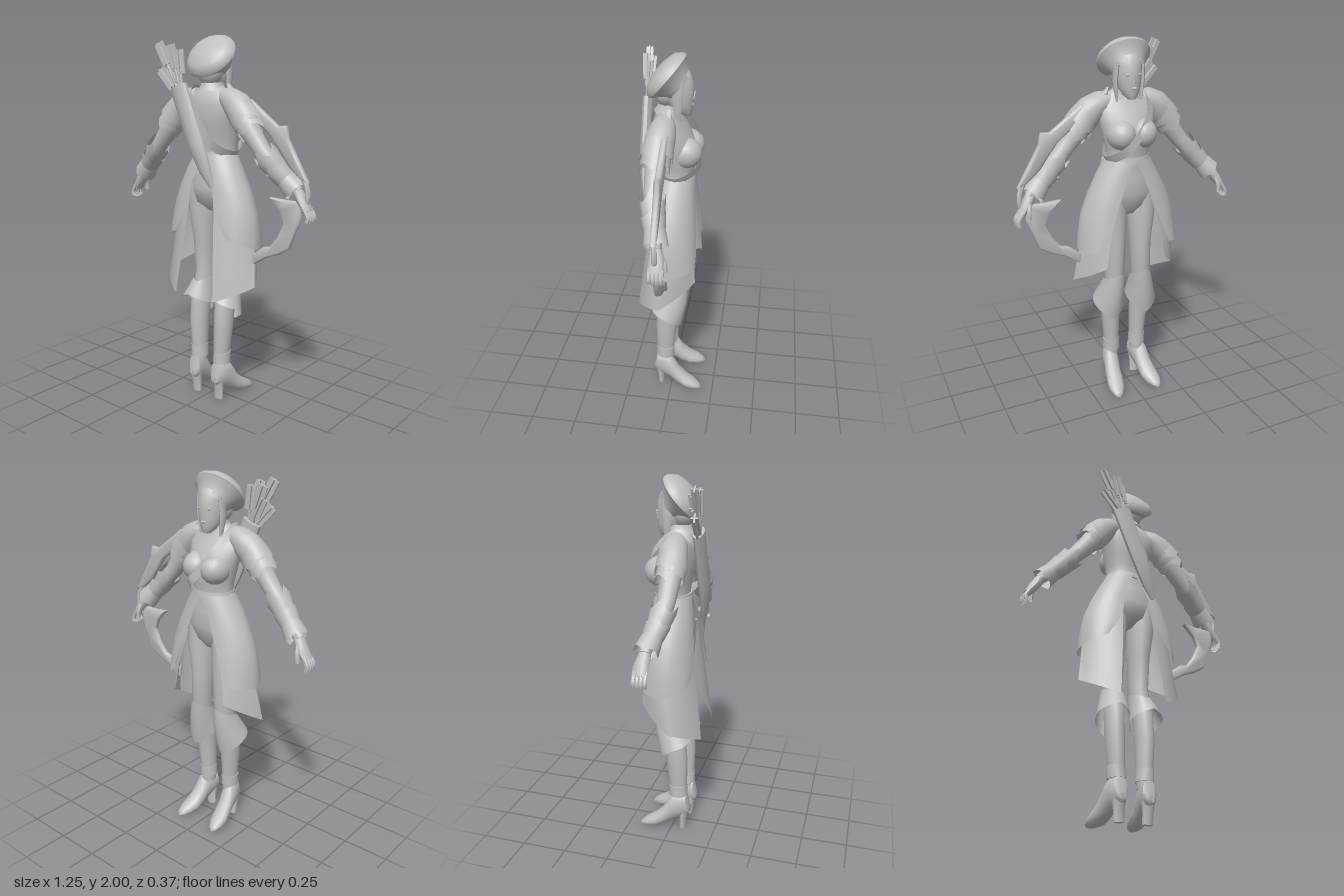
import * as THREE from 'three';
import { toCreasedNormals } from 'three/addons/utils/BufferGeometryUtils.js';

const V = (x, y, z) => new THREE.Vector3(x, y, z);
const grey = new THREE.MeshStandardMaterial({ color: 0xbfbfbf, side: THREE.DoubleSide });
grey.name = 'plain grey';

// Surface through rows of points; wrapped rows make a tube, caps close its ends
function skin(rows, wrap = true, caps = true) {
  const n = rows[0].length, pos = [], idx = [];
  rows.flat().forEach(p => pos.push(p.x, p.y, p.z));
  for (let i = 0; i < rows.length - 1; i++) {
    for (let j = 0; j < (wrap ? n : n - 1); j++) {
      const k = (j + 1) % n, a = i * n + j, b = i * n + k;
      idx.push(a, b, b + n, a, b + n, a + n);
    }
  }
  if (wrap && caps) [0, rows.length - 1].forEach((r, e) => {
    const c = V(0, 0, 0), m = pos.length / 3;
    rows[r].forEach(p => c.addScaledVector(p, 1 / n));
    pos.push(c.x, c.y, c.z);
    for (let j = 0; j < n; j++) {
      const a = r * n + j, b = r * n + (j + 1) % n;
      idx.push(m, ...(e ? [a, b] : [b, a]));
    }
  });
  // Turn the faces outwards
  let volume = 0;
  const at = i => V(pos[i * 3], pos[i * 3 + 1], pos[i * 3 + 2]);
  for (let i = 0; i < idx.length; i += 3) volume += at(idx[i]).dot(at(idx[i + 1]).cross(at(idx[i + 2])));
  if (volume < 0) idx.reverse();
  const g = new THREE.BufferGeometry();
  g.setAttribute('position', new THREE.Float32BufferAttribute(pos, 3));
  g.setIndex(idx);
  return g;
}

function ring(c, a, b, seg) {
  return Array.from({ length: seg }, (_, i) => {
    const t = i / seg * Math.PI * 2;
    return c.clone().addScaledVector(a, Math.cos(t)).addScaledVector(b, Math.sin(t));
  });
}

// Limb through stations [x, y, z, depth radius, width radius]
function limb(st, seg = 16) {
  return skin(st.map((s, i) => {
    const p = st[Math.max(i - 1, 0)], q = st[Math.min(i + 1, st.length - 1)];
    const side = V(q[1] - p[1], p[0] - q[0], 0).normalize();
    return ring(V(s[0], s[1], s[2]), V(0, 0, s[3]), side.multiplyScalar(s[4]), seg);
  }));
}

// Flared armour sleeve with a pointed edge
function sleeve(A, B, r0, r1, jag) {
  const a = V(...A), b = V(...B), t = b.clone().sub(a).normalize();
  const u = V(0, 0, 1).addScaledVector(t, -t.z).normalize(), v = u.clone().cross(t);
  const at = (f, r) => ring(a.clone().lerp(b, f), u.clone().multiplyScalar(r), v.clone().multiplyScalar(r), 16);
  const edge = at(1, r1);
  edge.forEach((p, i) => p.addScaledVector(t, i % 4 === 0 ? jag : i % 2 ? 0 : -jag * 0.4));
  return skin([at(0, r0), at(0.5, r0 * 0.35 + r1 * 0.65), edge], true, false);
}

// Curved row running from front, round the side, to the back; flat = 1 makes it straight
function around(F, S, B, flat = 0) {
  const row = [];
  for (let i = 0; i <= 16; i++) {
    const E = i <= 8 ? F : B, f = Math.abs(8 - i) / 8, t = f * Math.PI / 2;
    const c = Math.cos(t) * (1 - flat) + (1 - f) * flat, s = Math.sin(t) * (1 - flat) + f * flat;
    row.push(V(E[0] + (S[0] - E[0]) * c, S[1] + (E[1] - S[1]) * f, S[2] + (E[2] - S[2]) * s));
  }
  return row;
}

const tube = (pts, r) => new THREE.TubeGeometry(new THREE.CatmullRomCurve3(pts.map(p => V(...p))), 8, r, 7);
const ball = (x, y, z, a, b, c) => new THREE.SphereGeometry(1, 20, 14).scale(a, b, c).translate(x, y, z);

export function createModel() {
  const model = new THREE.Group();
  model.name = 'archer';
  const add = (name, g, parent = model) => {
    const m = new THREE.Mesh(toCreasedNormals(g, 0.8), grey);
    m.name = name;
    parent.add(m);
    return m;
  };
  const pair = (name, g) => {
    const other = g.clone().scale(-1, 1, 1);
    other.index.array.reverse();
    add(name + 'Left', g);
    add(name + 'Right', other);
  };

  // Torso, neck and chest
  add('torso', limb([
    [0, 1.07, -0.01, 0.04, 0.05], [0, 1.12, 0, 0.09, 0.13], [0, 1.2, -0.005, 0.108, 0.165], [0, 1.29, -0.01, 0.102, 0.145],
    [0, 1.38, -0.015, 0.088, 0.115], [0, 1.44, -0.018, 0.098, 0.122], [0, 1.51, -0.014, 0.11, 0.138], [0, 1.57, 0, 0.105, 0.15],
    [0, 1.64, 0.02, 0.085, 0.165], [0, 1.69, 0.03, 0.065, 0.145], [0, 1.725, 0.025, 0.048, 0.085], [0, 1.75, 0.015, 0.042, 0.044],
    [0, 1.82, 0.01, 0.042, 0.042]], 24));
  pair('breast', ball(0.06, 1.515, -0.065, 0.076, 0.08, 0.088));
  add('collar', sleeve([0, 1.70, 0.022], [0, 1.75, 0.012], 0.08, 0.062, 0.008));
  add('belt', limb([[0, 1.36, -0.015, 0.1, 0.125], [0, 1.395, -0.013, 0.096, 0.121]], 24));

  // Shoulder strap round the body
  const strap = new THREE.CatmullRomCurve3([[-0.11, 1.72, 0.02], [-0.08, 1.61, -0.105], [0, 1.5, -0.14], [0.06, 1.44, -0.138],
    [0.127, 1.38, -0.02], [0.07, 1.43, 0.1], [-0.02, 1.58, 0.125], [-0.09, 1.7, 0.1]].map(p => V(...p)), true).getPoints(40);
  add('chestStrap', skin([-1, 1].map(k => strap.map(p => p.clone().add(V(k * 0.012, k * 0.02, 0)))), true, false));

  // Head: [height, half width, front z, back z]
  add('head', limb([[1.695, 0.02, -0.085, -0.045], [1.715, 0.04, -0.092, 0], [1.75, 0.058, -0.096, 0.04], [1.8, 0.068, -0.1, 0.07],
    [1.86, 0.072, -0.098, 0.085], [1.91, 0.068, -0.08, 0.085], [1.95, 0.03, -0.03, 0.05]]
    .map(([y, w, f, b]) => [0, y, (f + b) / 2, (b - f) / 2, w]), 20));
  add('nose', new THREE.ConeGeometry(0.011, 0.05, 6).rotateX(-0.3).translate(0, 1.803, -0.102));
  add('lips', ball(0, 1.752, -0.093, 0.016, 0.007, 0.007));
  pair('eye', ball(0.03, 1.818, -0.087, 0.014, 0.006, 0.006));
  pair('sideLock', limb([[0.068, 1.88, -0.03, 0.03, 0.014], [0.076, 1.79, -0.028, 0.026, 0.012], [0.066, 1.68, -0.03, 0.012, 0.005]], 8));
  add('backHair', ball(0, 1.82, 0.04, 0.076, 0.085, 0.06));

  // Soft hat tilted backwards
  const hat = add('hat', new THREE.LatheGeometry([[0.078, -0.085], [0.09, -0.06], [0.112, -0.028], [0.138, -0.004], [0.134, 0.014],
    [0.105, 0.042], [0.05, 0.056], [0, 0.058]].map(p => new THREE.Vector2(...p)), 24));
  hat.position.set(0, 1.888, 0.034);
  hat.rotation.x = 0.86;
  hat.scale.x = 1.05;

  // Arms with layered shoulder and forearm armour
  pair('arm', limb([[0.13, 1.67, 0.03, 0.055, 0.045], [0.2, 1.63, 0.04, 0.066, 0.066], [0.27, 1.52, 0.05, 0.052, 0.055],
    [0.35, 1.42, 0.05, 0.045, 0.045], [0.42, 1.345, 0.038, 0.045, 0.045], [0.54, 1.23, 0.005, 0.028, 0.028]]));
  pair('shoulder', limb([[0.08, 1.685, 0.03, 0.045, 0.045], [0.13, 1.672, 0.034, 0.064, 0.06], [0.18, 1.64, 0.038, 0.074, 0.075],
    [0.225, 1.59, 0.045, 0.076, 0.079], [0.258, 1.545, 0.05, 0.07, 0.074]], 20));
  [[[0.195, 1.635, 0.04], [0.25, 1.56, 0.047], 0.07, 0.082], [[0.225, 1.595, 0.044], [0.28, 1.52, 0.05], 0.064, 0.074]]
    .forEach(p => pair('shoulderPlate', sleeve(...p, 0.025)));
  pair('elbowGuard', sleeve([0.45, 1.31, 0.03], [0.375, 1.395, 0.046], 0.044, 0.066, 0.042));
  pair('bracer', sleeve([0.5, 1.255, 0.015], [0.425, 1.34, 0.035], 0.042, 0.062, 0.025));
  pair('cuff', sleeve([0.44, 1.325, 0.03], [0.522, 1.235, 0.008], 0.04, 0.062, 0.012));

  // Hands
  pair('palm', limb([[0.525, 1.245, 0.008, 0.028, 0.028], [0.56, 1.19, 0, 0.038, 0.028], [0.597, 1.135, 0, 0.038, 0.018]], 10));
  for (let i = 0; i < 4; i++) {
    const z = -0.029 + i * 0.019, d = Math.abs(i - 1.3) * 0.006;
    pair('finger', tube([[0.586, 1.155, z], [0.608, 1.12, z], [0.614, 1.095 + d, z], [0.607, 1.075 + d, z]], 0.0115));
  }
  pair('thumb', tube([[0.55, 1.2, -0.022], [0.558, 1.16, -0.038], [0.562, 1.12, -0.04]], 0.0125));

  // Legs and boots
  pair('leg', limb([[0.09, 1.22, 0, 0.09, 0.075], [0.085, 1.08, -0.005, 0.09, 0.076], [0.077, 0.9, -0.01, 0.076, 0.058],
    [0.08, 0.72, -0.02, 0.065, 0.052], [0.085, 0.58, 0.015, 0.064, 0.053], [0.088, 0.44, 0.03, 0.061, 0.051],
    [0.082, 0.3, 0.036, 0.052, 0.044], [0.08, 0.18, 0.038, 0.046, 0.038]]));
  pair('ankleCuff', limb([[0.083, 0.28, 0.036, 0.053, 0.046], [0.081, 0.215, 0.038, 0.053, 0.048]]));
  // Knee cuff, pointed at the front and sides, raised at the back
  const cuffRow = (rx, f, b, yf, ys, yb, cx) => Array.from({ length: 24 }, (_, i) => {
    const t = i / 24 * Math.PI * 2, c = Math.cos(t), k = Math.abs(Math.asin(c)) * 2 / Math.PI;
    return V(cx + rx * Math.sin(t), ys + (c > 0 ? yf - ys : yb - ys) * k, (f + b) / 2 + c * (f - b) / 2);
  });
  pair('kneeCuff', skin([cuffRow(0.054, -0.093, 0.068, 0.74, 0.69, 0.66, 0.08), cuffRow(0.066, -0.09, 0.09, 0.62, 0.63, 0.63, 0.088),
    cuffRow(0.09, -0.058, 0.115, 0.45, 0.54, 0.59, 0.1)], true, false));
  // Shoe: [z, sole height, top height, half width]
  pair('shoe', skin([[0.102, 0.1, 0.15, 0.024], [0.085, 0.08, 0.225, 0.04], [0.04, 0.065, 0.235, 0.046], [0, 0.045, 0.21, 0.045],
    [-0.04, 0.02, 0.14, 0.046], [-0.09, 0.002, 0.088, 0.05], [-0.135, 0, 0.062, 0.042], [-0.168, 0.002, 0.035, 0.025], [-0.182, 0.006, 0.02, 0.008]]
    .map(([z, lo, hi, w]) => ring(V(0.095 - z * 0.16, (lo + hi) / 2, z), V(w, 0, 0), V(0, (hi - lo) / 2, 0), 14))));
  pair('heel', limb([[0.083, 0.13, 0.072, 0.032, 0.038], [0.082, 0.06, 0.066, 0.02, 0.03], [0.08, 0, 0.063, 0.018, 0.028]], 10));

  // Split skirt: rounded hip panels over long tails
  pair('hipPanel', skin([
    around([0, 1.375, -0.115], [0.122, 1.385, -0.01], [0, 1.385, 0.085]), around([0.045, 1.3, -0.118], [0.165, 1.31, 0], [0.045, 1.3, 0.1]),
    around([0.08, 1.2, -0.127], [0.222, 1.2, 0], [0.08, 1.2, 0.116], 0.1), around([0.125, 1.09, -0.135], [0.265, 1.09, 0], [0.09, 1.12, 0.125], 0.15),
    around([0.165, 0.98, -0.142], [0.284, 0.98, 0], [0.13, 1.03, 0.134], 0.2),
    around([0.195, 0.91, -0.14], [0.288, 0.89, 0], [0.18, 0.95, 0.125], 0.2)], false));
  pair('skirtTail', skin([
    around([0.09, 1.17, -0.115], [0.215, 1.17, 0], [0.082, 1.2, 0.104], 0.15), around([0.15, 0.97, -0.13], [0.268, 0.95, 0], [0.1, 0.95, 0.138], 0.35),
    around([0.175, 0.81, -0.14], [0.305, 0.695, 0.04], [0.132, 0.61, 0.18], 0.7)], false));

  // Quiver and arrows
  add('quiver', limb([[-0.122, 1.735, 0.152, 0.028, 0.058], [-0.005, 1.45, 0.152, 0.03, 0.053], [0.055, 1.3, 0.143, 0.021, 0.037],
    [0.09, 1.22, 0.135, 0.006, 0.014]], 10));
  [[-0.25, 1.955, 0.162], [-0.2, 1.925, 0.135], [-0.165, 1.945, 0.165], [-0.125, 1.92, 0.142], [-0.24, 1.82, 0.16], [-0.195, 1.86, 0.14]]
    .forEach(tip => {
      const arrow = new THREE.Group(), a = V(-0.09, 1.66, 0.152), d = V(...tip).sub(a), len = d.length();
      arrow.name = 'arrow';
      add('shaft', new THREE.CylinderGeometry(0.008, 0.008, len, 6).translate(0, len / 2, 0), arrow);
      [0, 1].forEach(k => add('fletching', new THREE.BoxGeometry(k ? 0.036 : 0.056, 0.125, 0.009)
        .rotateY(k * Math.PI / 2 + 0.1).translate(0, len - 0.062, 0), arrow));
      arrow.position.copy(a);
      arrow.quaternion.setFromUnitVectors(V(0, 1, 0), d.normalize());
      model.add(arrow);
    });

  // Bow: two shaped limbs and a grip
  const blade = pts => new THREE.ExtrudeGeometry(new THREE.Shape(pts.map(p => new THREE.Vector2(...p))),
    { depth: 0.008, bevelThickness: 0.012, bevelSize: 0.01, bevelOffset: -0.008, bevelSegments: 2 }).translate(0, 0, 0.006);
  add('upperBowLimb', blade([[0.1, 1.75], [0.16, 1.69], [0.25, 1.67], [0.33, 1.61], [0.42, 1.545], [0.468, 1.55], [0.478, 1.49], [0.53, 1.4],
    [0.6, 1.28], [0.55, 1.3], [0.48, 1.36], [0.43, 1.43], [0.38, 1.495], [0.32, 1.54], [0.24, 1.605], [0.16, 1.64], [0.105, 1.69]]));
  add('lowerBowLimb', blade([[0.375, 1.185], [0.46, 1.18], [0.56, 1.18], [0.565, 1.1], [0.53, 1.02], [0.5, 0.935], [0.44, 0.895], [0.36, 0.865],
    [0.275, 0.81], [0.275, 0.865], [0.34, 0.915], [0.385, 0.925], [0.43, 0.985], [0.465, 1.06], [0.44, 1.12]]));
  add('bowGrip', tube([[0.56, 1.32, 0.01], [0.592, 1.24, 0.005], [0.585, 1.17, 0.005], [0.54, 1.12, 0.01]], 0.014));

  return model;
}
